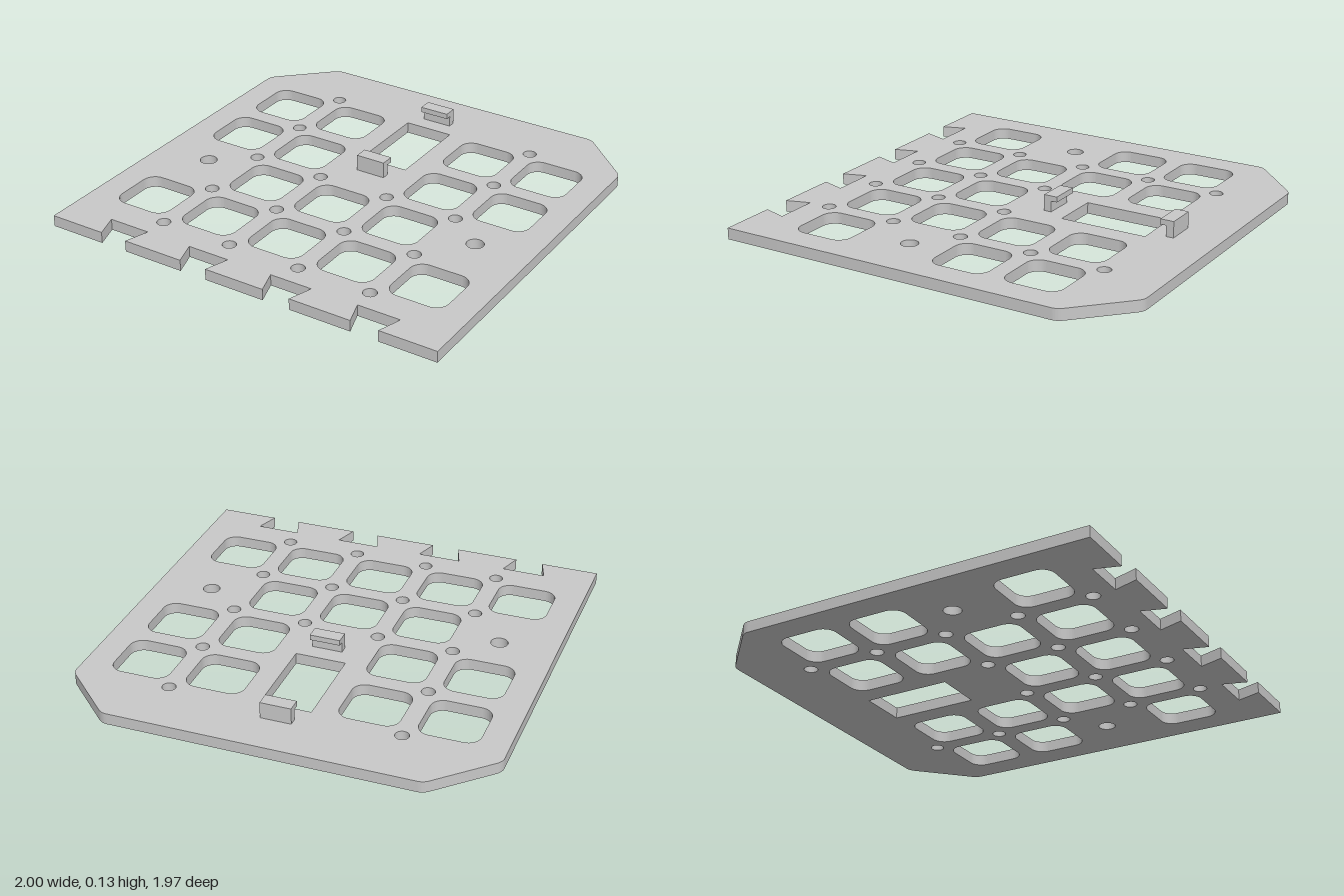
import * as THREE from 'three';
import { toCreasedNormals } from 'three/addons/utils/BufferGeometryUtils.js';

const THICK = 0.054, PITCH = 0.3635, EDGE = 0.983;

// All holes run counter-clockwise, against the clockwise outline
function roundHole(x, z, r) {
  return new THREE.Path().absarc(x, z, r, 0, Math.PI * 2, false);
}

function keyHole(x, z) {
  const h = 0.14, r = 0.063, c = h - r;
  const p = new THREE.Path();
  // four rounded corners joined by straight sides
  for (let i = 0; i < 4; i++) {
    const a = i * Math.PI / 2;
    const sx = i === 0 || i === 3 ? 1 : -1, sz = i < 2 ? 1 : -1;
    p.absarc(x + sx * c, z + sz * c, r, a, a + Math.PI / 2, false);
  }
  p.closePath();
  return p;
}

// Outline drawn in x and z: notched front edge, chamfered rear corners
function plateShape() {
  const s = new THREE.Shape();
  s.moveTo(-1, EDGE);
  for (const x of [-0.655, -0.217, 0.217, 0.655]) {
    s.lineTo(x - 0.067, EDGE);
    s.lineTo(x - 0.104, 0.869);
    s.lineTo(x + 0.104, 0.869);
    s.lineTo(x + 0.067, EDGE);
  }
  s.lineTo(1, EDGE);
  s.lineTo(1, -0.7);
  s.quadraticCurveTo(1, -0.728, 0.978, -0.749);
  s.lineTo(0.756, -0.962);
  s.quadraticCurveTo(0.735, -EDGE, 0.707, -EDGE);
  s.lineTo(-0.707, -EDGE);
  s.quadraticCurveTo(-0.735, -EDGE, -0.756, -0.962);
  s.lineTo(-0.978, -0.749);
  s.quadraticCurveTo(-1, -0.728, -1, -0.7);
  s.closePath();

  // Key openings, by row and column
  const rows = [[-2, -1, 1, 2], [-2, -1, 1, 2], [-1, 0, 1], [-2, -1, 0, 1, 2]];
  rows.forEach((cols, row) => {
    for (const c of cols) s.holes.push(keyHole(c * PITCH, -0.51 + row * PITCH));
  });

  // Screw holes between the keys
  for (let row = 0; row < 5; row++) {
    const z = -0.692 + row * PITCH;
    for (const k of row < 2 ? [-1.5, 1.5] : [-1.5, -0.5, 0.5, 1.5]) {
      s.holes.push(roundHole(k * PITCH, z, 0.032));
    }
  }
  for (const side of [-1, 1]) s.holes.push(roundHole(side * 2 * PITCH, 0.181, 0.041));

  // Rectangular window
  s.holes.push(new THREE.Path([
    [-0.12, -0.661], [0.12, -0.661], [0.12, -0.235], [-0.12, -0.235],
  ].map(([x, z]) => new THREE.Vector2(x, z))));
  return s;
}

// Hooked clip: outer face at z = 0, lip reaching towards +z
function clipGeometry() {
  const s = new THREE.Shape([
    [0, 0], [0.037, 0], [0.037, 0.052], [0.067, 0.052], [0.067, 0.078], [0, 0.078],
  ].map(([z, y]) => new THREE.Vector2(z, y)));
  return new THREE.ExtrudeGeometry(s, { depth: 0.146, bevelEnabled: false })
    .translate(0, 0, -0.073)
    .rotateY(-Math.PI / 2);
}

export function createModel() {
  const group = new THREE.Group();
  group.name = 'keypadPlate';
  const grey = new THREE.MeshStandardMaterial({ color: 0xc8c8c8 });
  grey.name = 'lightGrey';

  const plateGeo = new THREE.ExtrudeGeometry(plateShape(), {
    depth: THICK, bevelEnabled: false, curveSegments: 10,
  }).rotateX(Math.PI / 2).translate(0, THICK, 0);
  const plate = new THREE.Mesh(toCreasedNormals(plateGeo, 0.7), grey);
  plate.name = 'plate';
  group.add(plate);

  // Two clips facing each other across the window
  const clipGeo = clipGeometry();
  const rearClip = new THREE.Mesh(clipGeo, grey);
  rearClip.name = 'rearClip';
  rearClip.position.set(0, THICK, -0.778);
  const frontClip = new THREE.Mesh(clipGeo, grey);
  frontClip.name = 'frontClip';
  frontClip.position.set(0, THICK, -0.114);
  frontClip.rotation.y = Math.PI;
  group.add(rearClip, frontClip);
  return group;
}
